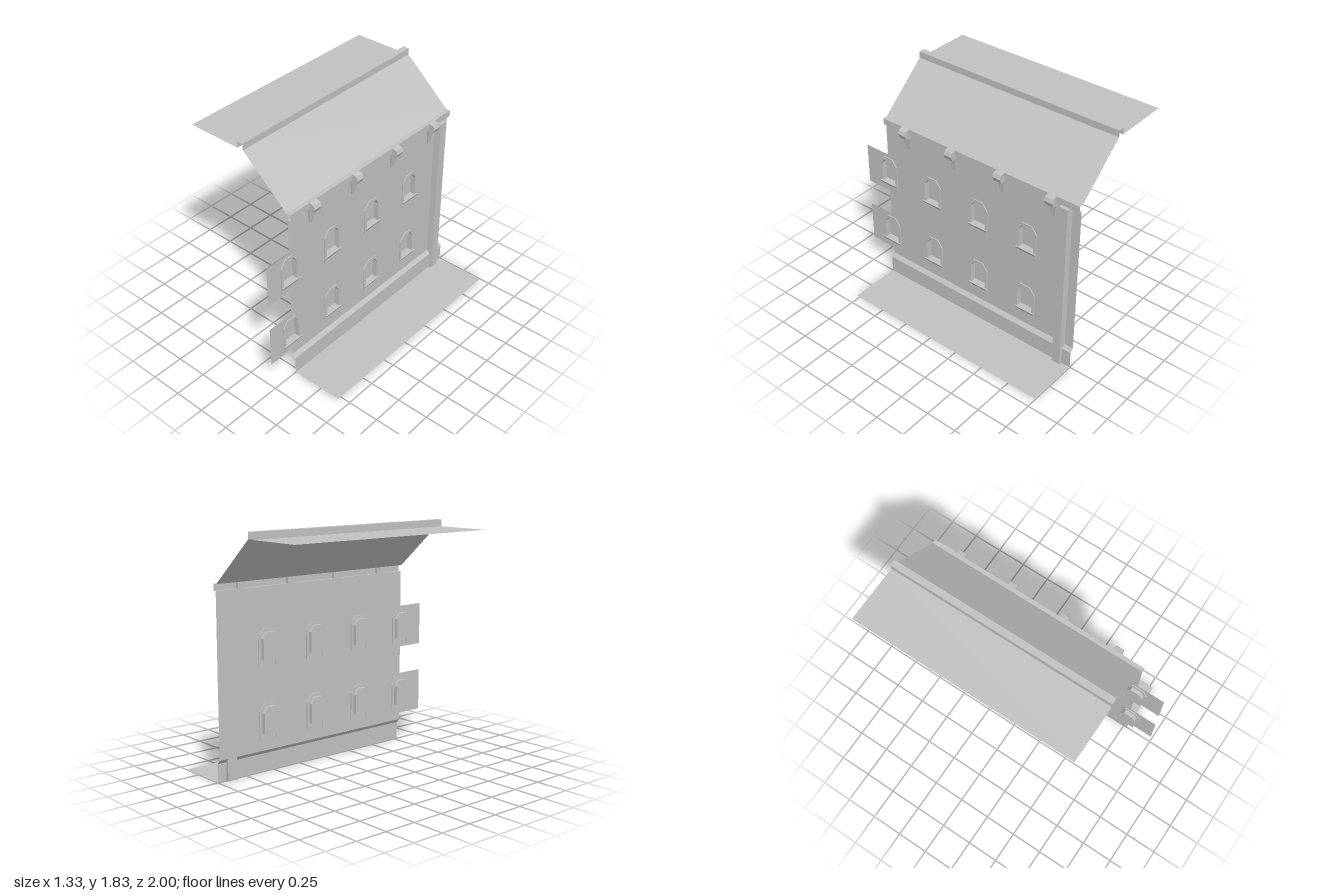
import * as THREE from 'three';

const WALL_X = 0.223, BACK = -1, FRONT = 0.78;
const ROWS = [0.305, 0.86], WINDOW_Z = [0.78, 0.335, -0.11, -0.555];
const BRACKET_Z = [0.556, 0.112, -0.332, -0.776];

const grey = new THREE.MeshStandardMaterial({ color: 0xc0c0c0, side: THREE.DoubleSide, flatShading: true });
grey.name = 'plain grey';

function add(parent, name, geometry) {
  const mesh = new THREE.Mesh(geometry, grey);
  mesh.name = name;
  parent.add(mesh);
  return mesh;
}

const vectors = (points) => points.map(([a, b]) => new THREE.Vector2(a, b));

// Thin sheet: an x-y profile swept along z
function sheet(profile, z0 = BACK, z1 = FRONT) {
  const p = [];
  for (let i = 0; i + 1 < profile.length; i++) {
    const [ax, ay] = profile[i], [bx, by] = profile[i + 1];
    p.push(ax, ay, z0, bx, by, z0, bx, by, z1, ax, ay, z0, bx, by, z1, ax, ay, z1);
  }
  const g = new THREE.BufferGeometry();
  g.setAttribute('position', new THREE.Float32BufferAttribute(p, 3));
  g.computeVertexNormals();
  return g;
}

// Solid prism: an x-y profile extruded along z, centred on z = 0
function prism(profile, width) {
  const g = new THREE.ExtrudeGeometry(new THREE.Shape(vectors(profile)), { depth: width, bevelEnabled: false });
  return g.translate(0, 0, -width / 2);
}

// Arch with chamfered shoulders, as (across, up) points
function arch(half, topHalf, bottom, shoulder, top) {
  return [[half, bottom], [half, shoulder], [topHalf, top], [-topHalf, top], [-half, shoulder], [-half, bottom]];
}
const opening = arch(0.066, 0.036, 0, 0.155, 0.202);

function makeWindow() {
  const group = new THREE.Group();
  group.name = 'window';

  // Recess sides, swept backwards from the wall
  const loop = [...opening, opening[0]];
  const sides = sheet(loop, 0.185, WALL_X).rotateY(Math.PI / 2);
  add(group, 'recessSides', sides);
  const pane = new THREE.ShapeGeometry(new THREE.Shape(vectors(opening))).rotateY(Math.PI / 2);
  add(group, 'windowPane', pane.translate(0.185, 0, 0));

  // Raised surround with legs passing below the sill
  const outer = arch(0.088, 0.043, -0.053, 0.168, 0.225);
  const inner = arch(0.066, 0.036, -0.053, 0.155, 0.202).reverse();
  const surround = new THREE.ExtrudeGeometry(new THREE.Shape(vectors([...outer, ...inner])),
    { depth: 0.016, bevelEnabled: false });
  add(group, 'windowSurround', surround.rotateY(Math.PI / 2).translate(0.215, 0, 0));

  // Sill with a sloping underside
  add(group, 'windowSill', prism([[WALL_X, 0], [WALL_X, -0.028], [0.228, -0.028], [0.243, 0]], 0.176));
  return group;
}

function makeBracket() {
  const group = new THREE.Group();
  group.name = 'corniceBracket';
  add(group, 'bracketHead', prism([[0.223, 1.372], [0.28, 1.372], [0.296, 1.408],
    [0.283, 1.436], [0.247, 1.446], [0.223, 1.446]], 0.068));

  // Corbel narrowing towards its foot
  const corbel = new THREE.BoxGeometry(1, 1, 1);
  const pos = corbel.attributes.position;
  for (let i = 0; i < pos.count; i++) {
    const upper = pos.getY(i) > 0;
    const x = pos.getX(i) > 0 ? (upper ? 0.247 : 0.23) : WALL_X;
    pos.setXYZ(i, x, upper ? 1.38 : 1.26, Math.sign(pos.getZ(i)) * (upper ? 0.033 : 0.016));
  }
  corbel.computeVertexNormals();
  add(group, 'bracketCorbel', corbel);
  return group;
}

export function createModel() {
  const model = new THREE.Group();
  model.name = 'buildingFacade';

  // Wall with two toothed tabs on one end and arched openings; across = -z
  const outline = [[1, 0.17], [1, 1.395], [-FRONT, 1.395]];
  for (const y of [...ROWS].reverse()) {
    outline.push([-FRONT, y + 0.255], [-1, y + 0.255], [-1, y - 0.08], [-FRONT, y - 0.08]);
  }
  outline.push([-FRONT, 0.17]);
  const wall = new THREE.Shape(vectors(outline));
  for (const y of ROWS) {
    for (const z of WINDOW_Z) {
      wall.holes.push(new THREE.Path(vectors(opening.map(([u, v]) => [u - z, v + y]))));
      const win = makeWindow();
      win.position.set(0, y, z);
      model.add(win);
    }
  }
  add(model, 'wall', new THREE.ShapeGeometry(wall).rotateY(Math.PI / 2).translate(WALL_X, 0, 0));

  // Pavement and plinth
  add(model, 'pavement', sheet([[0.665, 0], [0.25, 0]]));
  add(model, 'plinth', sheet([[0.25, 0], [0.25, 0.14], [WALL_X, 0.17]]));

  // Cornice and roof
  add(model, 'cornice', sheet([[WALL_X, 1.395], [0.247, 1.395], [0.247, 1.445], [0.215, 1.445]]));
  add(model, 'slopedRoof', sheet([[0.215, 1.445], [-0.17, 1.78]]));
  add(model, 'roofKerb', sheet([[-0.17, 1.78], [-0.17, 1.832], [-0.22, 1.832], [-0.22, 1.78]]));
  add(model, 'flatRoof', sheet([[-0.22, 1.78], [-0.665, 1.78]]));

  // Pilaster, slightly tapered in plan
  const plan = new THREE.Shape(vectors([[WALL_X, 0.847], [0.272, 0.853], [0.272, 0.922], [WALL_X, 0.928]]));
  add(model, 'pilaster', new THREE.ExtrudeGeometry(plan, { depth: 1.395, bevelEnabled: false }).rotateX(-Math.PI / 2));

  for (const z of BRACKET_Z) {
    const bracket = makeBracket();
    bracket.position.z = z;
    model.add(bracket);
  }
  return model;
}
